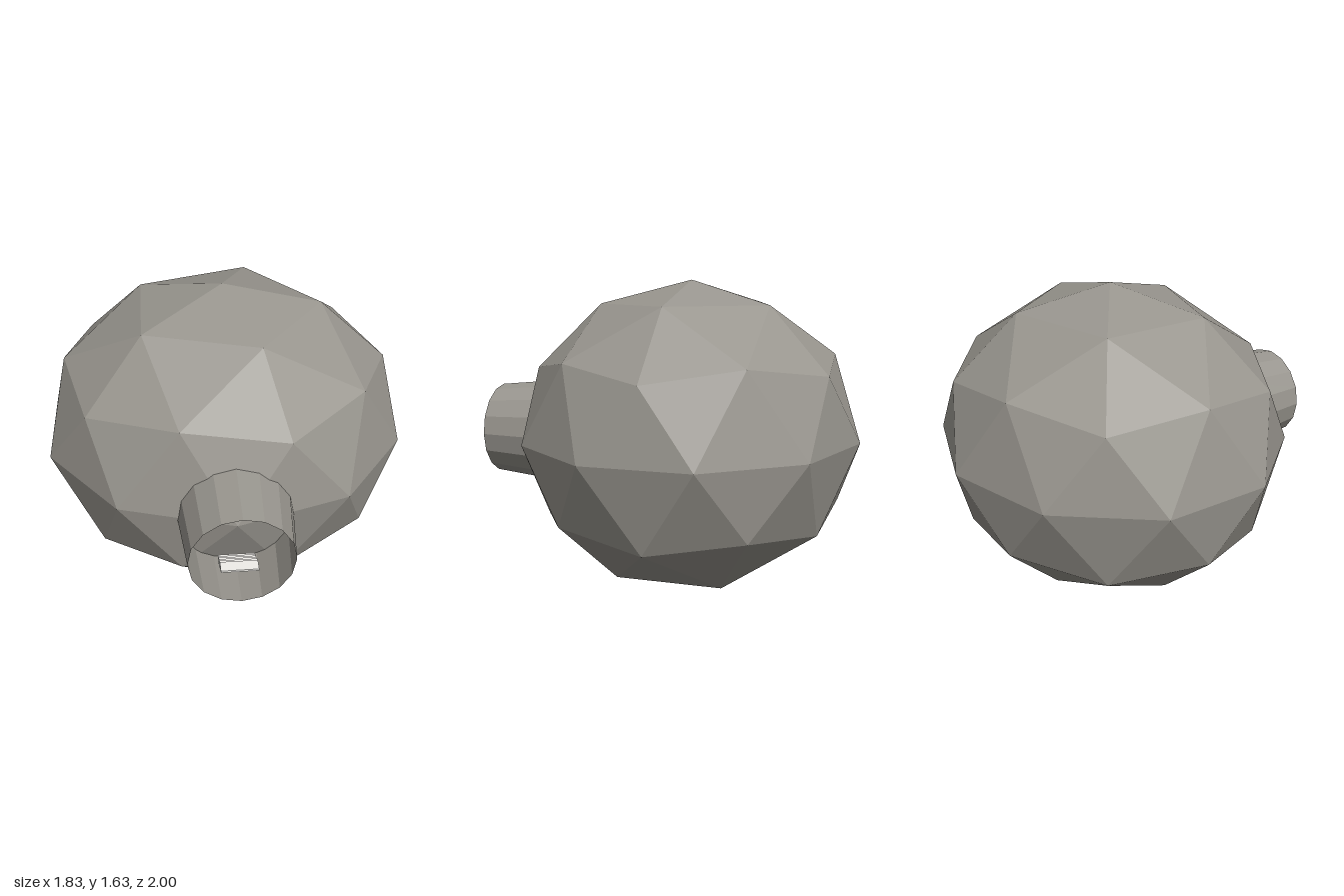
import * as THREE from 'three';

export function createModel() {
  const model = new THREE.Group();
  const stone = new THREE.MeshStandardMaterial({ color: 0x99968f, flatShading: true });
  const stoneOpen = new THREE.MeshStandardMaterial({
    color: 0x99968f, flatShading: true, side: THREE.DoubleSide,
  });
  const pale = new THREE.MeshStandardMaterial({ color: 0xf0eeea, flatShading: true });
  const add = (name, geometry, material, x, y, z, parent = model) => {
    const mesh = new THREE.Mesh(geometry, material);
    mesh.name = name;
    mesh.position.set(x, y, z);
    parent.add(mesh);
  };

  // Dome: once-subdivided icosahedron, one corner turned straight up, then stretched
  const golden = (1 + Math.sqrt(5)) / 2;
  const dome = new THREE.IcosahedronGeometry(1, 1);
  dome.rotateZ(-Math.atan(1 / golden));
  dome.scale(0.961, 0.815, 0.89);
  dome.computeVertexNormals();
  add('dome', dome, stone, 0, 0.815, -0.11);

  // Entrance tunnel: open tapered tube that runs into the dome
  const back = 0.6, front = 1;
  const tunnel = new THREE.CylinderGeometry(0.247, 0.287, front - back, 16, 1, true);
  tunnel.rotateX(Math.PI / 2);
  add('entranceTunnel', tunnel, stoneOpen, 0, 0.797, (front + back) / 2);

  // Small pale steps that lead down into the dome
  const steps = new THREE.Group();
  steps.name = 'entranceSteps';
  model.add(steps);
  const count = 6;
  for (let i = 0; i < count; i++) {
    const t = i / (count - 1);
    const slat = new THREE.BoxGeometry(0.18, 0.011, 0.06);
    add('step' + (i + 1), slat, pale, 0, 0.655 - 0.067 * t, 0.88 - 0.12 * t, steps);
  }

  return model;
}
